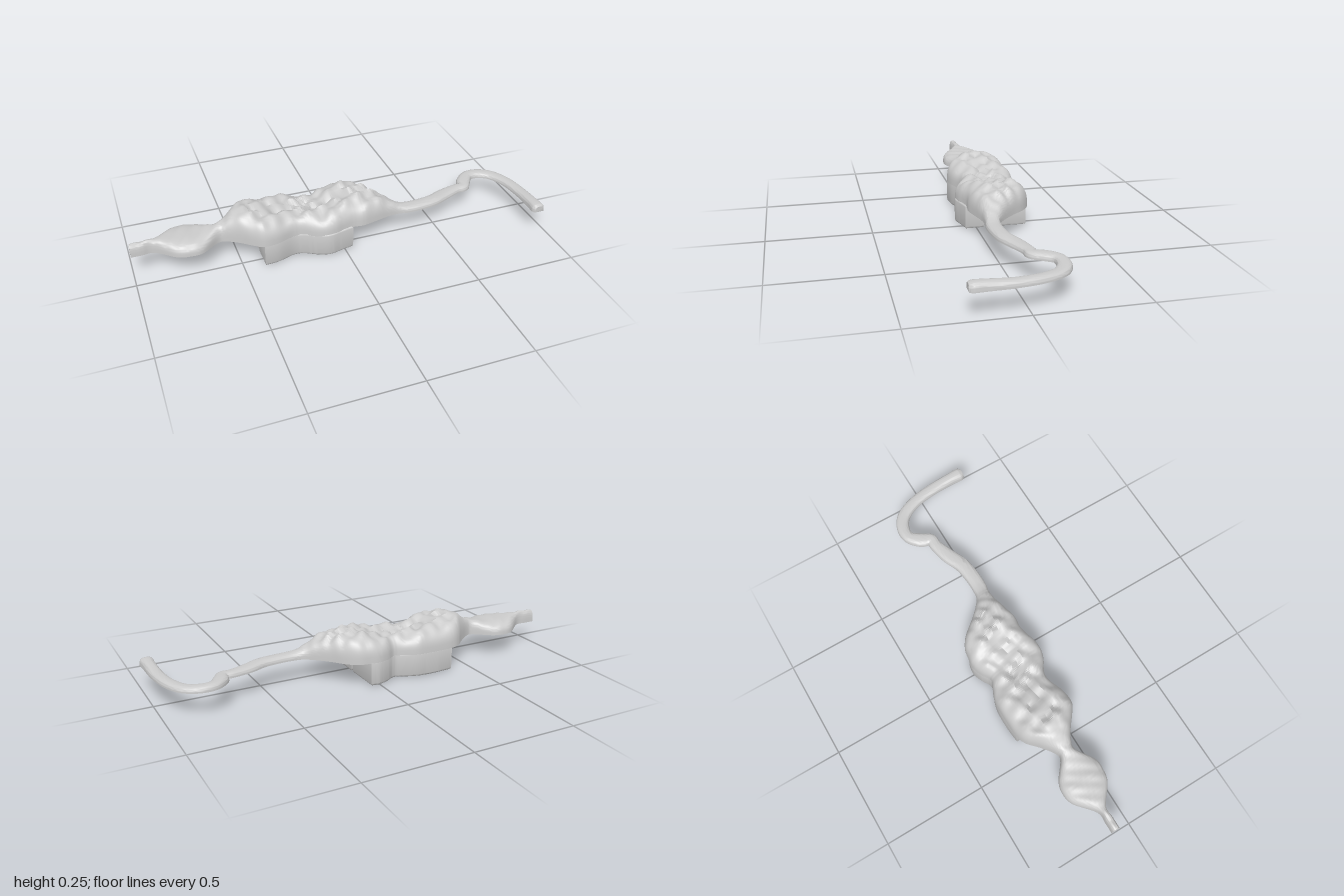
import * as THREE from 'three';
import { toCreasedNormals } from 'three/addons/utils/BufferGeometryUtils.js';

const material = new THREE.MeshStandardMaterial({ color: 0xcccccc });
const FLOOR = 0.112; // flat underside of the long body

// Body stations from x = -1 to the tail: x, back z, front z, top y
const BODY = [
  [-1, -.11, -.07, .17], [-.95, -.11, -.07, .175], [-.89, -.115, -.07, .175], [-.8, -.19, 0, .172],
  [-.74, -.205, .015, .172], [-.68, -.19, .01, .17], [-.6, -.13, -.045, .185],
  [-.56, -.135, -.045, .2], [-.5, -.18, -.01, .238], [-.45, -.225, .03, .245],
  [-.4, -.245, .06, .235], [-.33, -.25, .055, .228], [-.25, -.25, .027, .218],
  [-.2, -.245, .03, .213], [-.15, -.225, .06, .207], [-.1, -.207, .077, .208],
  [-.05, -.235, .075, .216], [0, -.25, .06, .228], [.05, -.245, .05, .238],
  [.1, -.235, .055, .235], [.15, -.2, .045, .225], [.2, -.14, .033, .21],
  [.25, -.09, .022, .185], [.3, -.053, .02, .155], [.35, -.045, .028, .142],
];
// Tail path: x, z, half width, top y
const TAIL = [
  [.42, -.01, .037, .14], [.5, -.022, .037, .14], [.58, -.055, .037, .137], [.66, -.08, .03, .137],
  [.705, -.085, .03, .138], [.73, -.13, .036, .14], [.775, -.175, .03, .14], [.84, -.175, .032, .138],
  [.9, -.135, .032, .136], [.94, -.05, .03, .138], [.958, .06, .03, .14], [.962, .17, .03, .147],
  [.962, .225, .033, .148], [.962, .243, .024, .142],
];

const smooth = (a, b, v) => THREE.MathUtils.smoothstep(v, a, b);

// Sideways folds, strongest over the thick middle, fine over the rest
function wrinkle(x, z, lift) {
  const middle = smooth(-.52, -.42, x) * (1 - smooth(.18, .26, x));
  const folds = .009 * Math.sin(34 * x + 9 * Math.sin(11 * z + 1)) + .005 * Math.sin(71 * x - 26 * z);
  const dip = -.018 * Math.exp(-(((z + .09) / .05) ** 2)) * smooth(-.4, -.3, x) * (1 - smooth(.0, .1, x));
  const fine = x < .3 ? .0025 * Math.sin(95 * x + 60 * z) : 0;
  return lift * (middle * (folds + dip) + fine);
}

// Flat-bottomed dome sections lofted along the whole spine
function loftBody() {
  const stations = [
    ...BODY.map(([x, b, f, top]) => [x, (b + f) / 2, (f - b) / 2, top]),
    ...TAIL,
  ];
  const spine = new THREE.CatmullRomCurve3(
    stations.map(([x, z]) => new THREE.Vector3(x, 0, z)), false, 'catmullrom', .5);
  const size = new THREE.CatmullRomCurve3(
    stations.map(([, , w, top]) => new THREE.Vector3(w, top - FLOOR, 0)), false, 'catmullrom', .5);
  const steps = (stations.length - 1) * 6, arc = 28, ring = arc + 1;
  const pos = [], index = [];
  for (let i = 0; i <= steps; i++) {
    const t = i / steps, c = spine.getPoint(t), s = size.getPoint(t), d = spine.getTangent(t);
    // Sections stay square to x on the body and turn with the path on the tail
    const turn = smooth(.3, .5, c.x);
    const side = new THREE.Vector3(-d.z * turn, 0, THREE.MathUtils.lerp(1, d.x, turn)).normalize();
    for (let j = 0; j <= arc; j++) {
      const a = Math.PI * j / arc, cos = Math.cos(a), sin = Math.max(0, Math.sin(a));
      const across = Math.sign(cos) * Math.abs(cos) ** .7 * s.x;
      const lift = sin ** .65;
      const x = c.x + side.x * across, z = c.z + side.z * across;
      pos.push(x, FLOOR + s.y * lift + wrinkle(x, z, sin ** 1.2), z);
    }
  }
  for (let i = 0; i < steps; i++) {
    for (let j = 0; j < ring; j++) {
      const k = (j + 1) % ring;
      const a = i * ring + j, b = a + ring, c = i * ring + k, d = c + ring;
      index.push(a, b, c, b, d, c);
    }
  }
  // End caps
  const last = steps * ring;
  for (let j = 1; j < arc; j++) {
    index.push(0, j, j + 1, last, last + j + 1, last + j);
  }
  const geo = new THREE.BufferGeometry();
  geo.setAttribute('position', new THREE.Float32BufferAttribute(pos, 3));
  geo.setIndex(index);
  return toCreasedNormals(geo, .9);
}

// Wavy upright block between two edges, each a list of [x, z]
function wavyBlock(front, back) {
  const wave = (pts) => new THREE.SplineCurve(pts.map(([x, z]) => new THREE.Vector2(x, -z))).getPoints(40);
  const shape = new THREE.Shape([...wave(front), ...wave(back).reverse()]);
  const geo = new THREE.ExtrudeGeometry(shape, {
    depth: .1, bevelEnabled: true, bevelThickness: .01, bevelSize: .01, bevelOffset: -.01, bevelSegments: 3,
  });
  geo.rotateX(-Math.PI / 2).translate(0, .01, 0);
  return toCreasedNormals(geo, .7);
}

export function createModel() {
  const group = new THREE.Group();
  const add = (name, geo) => {
    const mesh = new THREE.Mesh(geo, material);
    mesh.name = name;
    group.add(mesh);
  };

  add('bodyAndTail', loftBody());

  // Two mounting blocks with a narrow winding slot between them
  const slot = [[-.4, -.07], [-.32, -.075], [-.24, -.085], [-.16, -.06], [-.08, -.03], [-.02, -.04], [.045, -.05]];
  const shifted = (dz) => slot.map(([x, z]) => [x, z + dz]);
  add('frontBlock', wavyBlock(
    [[-.4, .06], [-.33, .053], [-.25, .027], [-.2, .032], [-.14, .065], [-.08, .082], [-.02, .07], [.045, .055]],
    shifted(.012)));
  add('backBlock', wavyBlock(
    shifted(-.012),
    [[-.4, -.243], [-.32, -.25], [-.22, -.247], [-.15, -.225], [-.1, -.207], [-.05, -.233], [0, -.25], [.045, -.246]]));

  return group;
}
